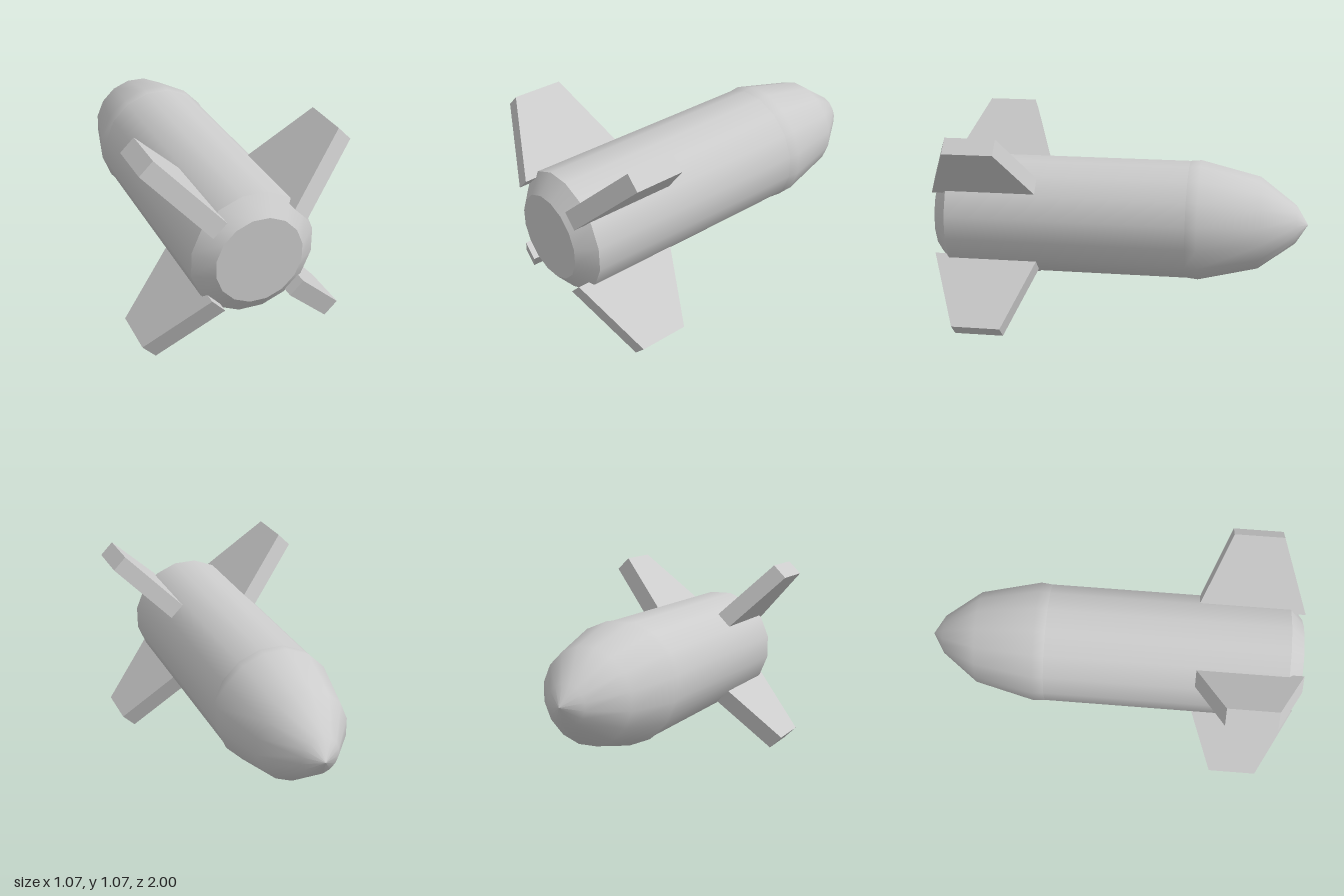
import * as THREE from 'three';

const SIDES = 16;
const AXIS_Y = 0.536;

export function createModel() {
  const model = new THREE.Group();
  model.name = 'rocket';
  const grey = new THREE.MeshStandardMaterial({ color: 0xcccccc });
  grey.name = 'grey';

  const add = (name, geometry) => {
    const mesh = new THREE.Mesh(geometry, grey);
    mesh.name = name;
    mesh.position.y = AXIS_Y;
    model.add(mesh);
    return mesh;
  };

  // Sixteen-sided turned section along z, from [radius, z] pairs with z rising
  const turned = (profile) =>
    new THREE.LatheGeometry(
      profile.map(([r, z]) => new THREE.Vector2(r, z)), SIDES, Math.PI / SIDES
    ).rotateX(Math.PI / 2);

  // Fuselage: pointed nose with a slight shoulder, straight body, tapered tail
  add('noseCone', turned([[0, -1], [0.104, -0.935], [0.25, -0.74], [0.327, -0.42], [0.321, -0.36]]));
  add('body', turned([[0.321, -0.36], [0.321, 0.92]]));
  add('tailTaper', turned([[0.321, 0.92], [0.226, 1]]));
  const cap = new THREE.CircleGeometry(0.226, SIDES, Math.PI / SIDES);
  add('tailCap', cap.translate(0, 0, 1));

  // Fin outline: x is distance along the axis, y is distance out from it
  const outline = new THREE.Shape([
    new THREE.Vector2(0.43, 0.291),
    new THREE.Vector2(1, 0.291),
    new THREE.Vector2(0.84, 0.71),
    new THREE.Vector2(0.58, 0.71),
  ]);
  const thickness = 0.096;
  const finGeometry = new THREE.ExtrudeGeometry(outline, { depth: thickness, bevelEnabled: false })
    .translate(0, 0, -thickness / 2)
    .rotateY(-Math.PI / 2);

  // Four diagonal fins
  ['upperLeftFin', 'upperRightFin', 'lowerRightFin', 'lowerLeftFin'].forEach((name, i) => {
    add(name, finGeometry).rotation.z = -Math.PI / 4 + (i * Math.PI) / 2;
  });

  return model;
}
